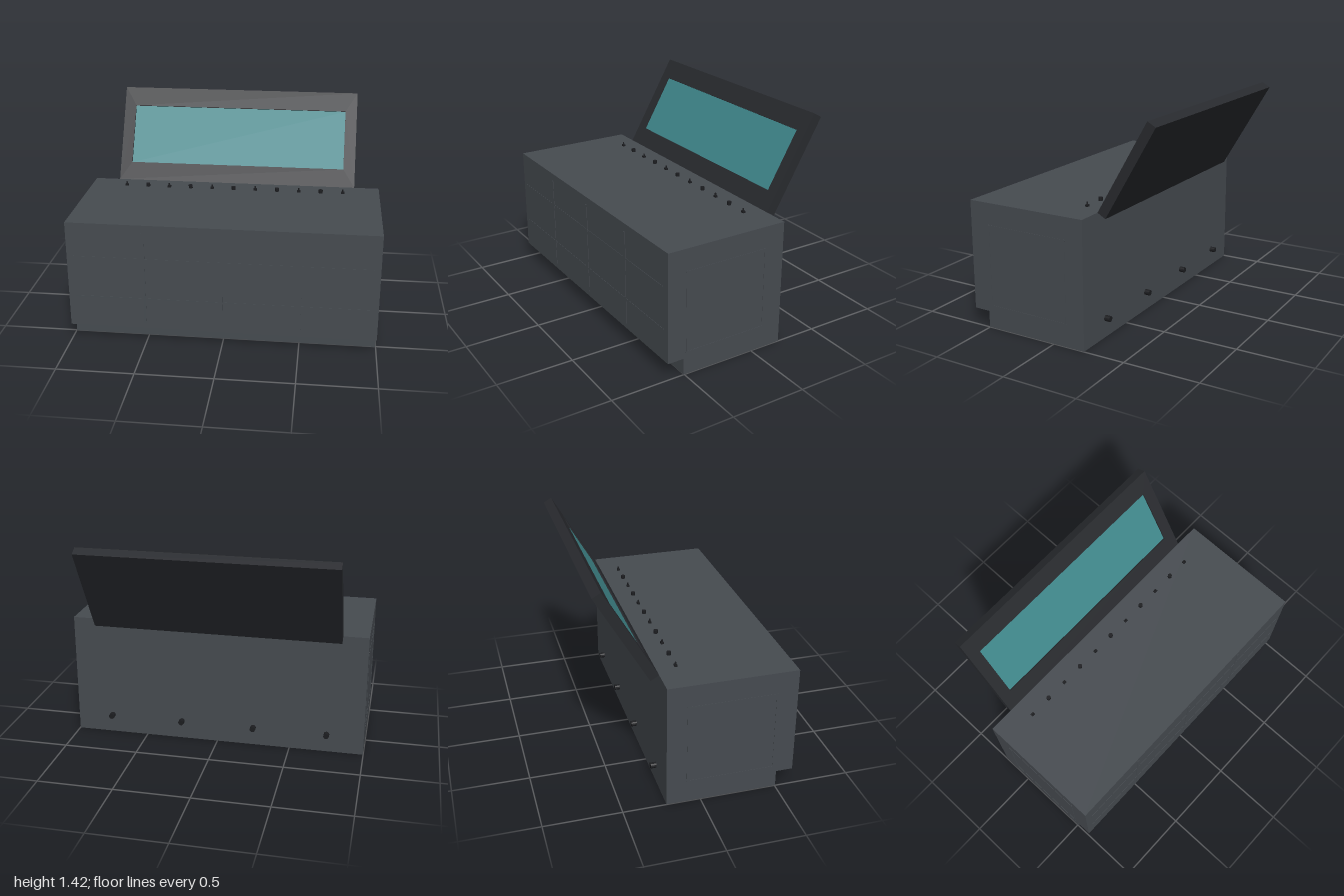
import * as THREE from 'three';

const mat = (color) => new THREE.MeshStandardMaterial({ color, flatShading: true });

export function createModel() {
  const root = new THREE.Group();
  root.name = 'controlConsole';
  const bodyMat = mat(0x464b50);
  const panelMat = mat(0x282a2e);
  const screenMat = mat(0x40888c);
  const knobMat = mat(0x1c1d20);

  const add = (parent, name, geometry, material, x = 0, y = 0, z = 0) => {
    const mesh = new THREE.Mesh(geometry, material);
    mesh.name = name;
    mesh.position.set(x, y, z);
    parent.add(mesh);
    return mesh;
  };
  const box = (w, h, d) => new THREE.BoxGeometry(w, h, d);

  // Cabinet: side profile with a toe recess, extruded across the width
  const profile = new THREE.Shape([
    [0.22, 0], [0.22, 0.835], [-0.615, 0.835], [-0.615, 0.11], [-0.505, 0.11], [-0.505, 0],
  ].map(([a, b]) => new THREE.Vector2(a, b)));
  const cabinet = new THREE.ExtrudeGeometry(profile, { depth: 1.996, bevelEnabled: false });
  cabinet.translate(0, 0, -0.998).rotateY(Math.PI / 2);
  add(root, 'cabinet', cabinet, bodyMat);

  // Seams dividing the front into bays
  for (const y of [0.32, 0.6]) add(root, 'frontRail', box(1.91, 0.012, 0.006), bodyMat, 0, y, 0.614);
  for (const x of [-0.5, 0, 0.5]) add(root, 'frontDivider', box(0.018, 0.635, 0.008), bodyMat, x, 0.463, 0.614);

  // Framed access panel on each end, with a stud at every corner
  for (const s of [-1, 1]) {
    const frame = new THREE.Group();
    frame.name = s > 0 ? 'leftSideFrame' : 'rightSideFrame';
    frame.position.set(s * 0.997, 0.417, 0.198);
    for (const e of [-1, 1]) {
      add(frame, 'frameRail', box(0.006, 0.012, 0.57), bodyMat, 0, e * 0.268, 0);
      add(frame, 'framePost', box(0.006, 0.536, 0.012), bodyMat, 0, 0, e * 0.283);
      for (const f of [-1, 1]) {
        const stud = new THREE.CylinderGeometry(0.009, 0.009, 0.006, 12).rotateZ(Math.PI / 2);
        add(frame, 'frameStud', stud, bodyMat, 0, e * 0.268, f * 0.283);
      }
    }
    root.add(frame);
  }

  // Tilted display: back slab, bezel with an opening, recessed screen
  const display = new THREE.Group();
  display.name = 'display';
  display.position.set(0, 0.835, -0.22);
  display.rotation.x = -Math.PI / 6;
  const H = 0.677, T = 0.063, R = 0.011;
  const rect = (P, w, y0, y1) => new P([[-w, y0], [w, y0], [w, y1], [-w, y1]]
    .map(([a, b]) => new THREE.Vector2(a, b)));
  const bezel = rect(THREE.Shape, 0.83, 0, H);
  bezel.holes.push(rect(THREE.Path, 0.75, 0.127, 0.543));
  add(display, 'displayBezel', new THREE.ExtrudeGeometry(bezel, { depth: R, bevelEnabled: false }), panelMat, 0, 0, -R);
  add(display, 'displayBack', box(1.66, H, T - R), panelMat, 0, H / 2, -(T + R) / 2);
  add(display, 'screen', new THREE.PlaneGeometry(1.5, 0.416), screenMat, 0, 0.335, -R + 0.001);
  root.add(display);

  // Row of alternating toggle switches and round knobs
  for (let i = 0; i < 11; i++) {
    const control = new THREE.Group();
    control.position.set(-0.75 + i * 0.15, 0.835, -0.095);
    if (i % 2) {
      control.name = 'knob';
      add(control, 'knobBody', new THREE.CylinderGeometry(0.014, 0.014, 0.022, 16), knobMat, 0, 0.011, 0);
    } else {
      control.name = 'toggle';
      add(control, 'toggleBase', box(0.022, 0.012, 0.018), knobMat, 0, 0.006, 0);
      add(control, 'toggleLever', new THREE.CylinderGeometry(0.005, 0.006, 0.02, 10), knobMat, 0, 0.019, 0);
    }
    root.add(control);
  }

  // Cable sockets along the back
  for (const x of [-0.75, -0.25, 0.25, 0.75]) {
    const socket = new THREE.CylinderGeometry(0.019, 0.019, 0.04, 12).rotateX(Math.PI / 2);
    add(root, 'rearSocket', socket, knobMat, x, 0.128, -0.237);
  }

  return root;
}
